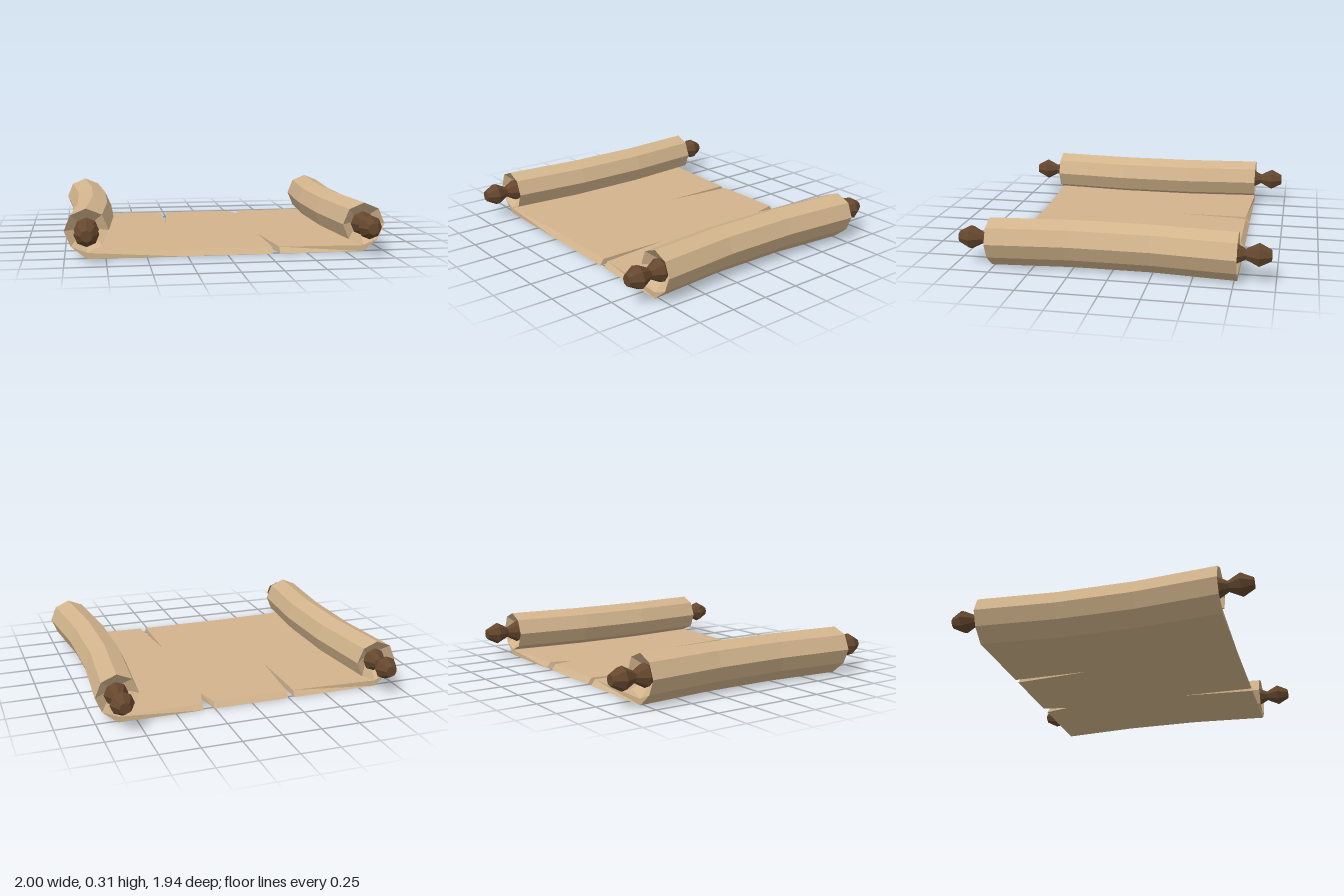
import * as THREE from 'three';

const paper = new THREE.MeshStandardMaterial({ color: 0xd2b48c, flatShading: true, side: THREE.DoubleSide });
const wood = new THREE.MeshStandardMaterial({ color: 0x65472e, flatShading: true });

const END_X = 0.865, MID_X = 0.82, HALF = 0.77, BEND = 0.25, AXIS_Y = 0.175, R = 0.135, THICK = 0.038;

// Skins a closed counter-clockwise section through rings { x, z, s } running towards +z
function loft(section, rings, caps) {
  const n = section.length, pos = [], index = [];
  for (const { x, z, s } of rings)
    for (const [px, py] of section) pos.push(x + px * s, AXIS_Y + py * s, z);
  for (let j = 0; j < rings.length - 1; j++)
    for (let i = 0; i < n; i++) {
      const a = j * n + i, b = j * n + (i + 1) % n;
      index.push(a, b, b + n, a, b + n, a + n);
    }
  if (caps) {
    const last = (rings.length - 1) * n;
    for (let i = 1; i < n - 1; i++) index.push(0, i + 1, i, last, last + i, last + i + 1);
  }
  const geo = new THREE.BufferGeometry();
  geo.setAttribute('position', new THREE.Float32BufferAttribute(pos, 3));
  geo.setIndex(index);
  geo.computeVertexNormals();
  return geo;
}

function add(parent, name, geo, mat) {
  const mesh = new THREE.Mesh(geo, mat);
  mesh.name = name;
  parent.add(mesh);
  return mesh;
}

// Flat sheet with three tears and edges that slope in towards the top
function sheetGeometry() {
  const outline = [
    [-END_X, -HALF], [-0.29, -HALF], [-0.29, -0.255], [-0.245, -HALF],
    [0.25, -HALF], [0.285, -0.6], [0.325, -HALF], [END_X, -HALF],
    [MID_X, -BEND], [MID_X, BEND], [END_X, HALF],
    [0.33, HALF], [0.285, 0.27], [0.285, HALF], [-0.29, HALF],
    [-END_X, HALF], [-MID_X, BEND], [-MID_X, -BEND],
  ];
  const shape = new THREE.Shape(outline.map(([x, z]) => new THREE.Vector2(x, z)));
  const geo = new THREE.ExtrudeGeometry(shape, { depth: THICK, bevelEnabled: false });
  geo.rotateX(Math.PI / 2).translate(0, THICK, 0);
  const p = geo.attributes.position;
  for (let i = 0; i < p.count; i++)
    if (p.getY(i) > THICK / 2 && Math.abs(p.getZ(i)) > 0.75 && Math.abs(p.getX(i)) < 0.5)
      p.setZ(i, Math.sign(p.getZ(i)) * 0.742);
  geo.computeVertexNormals();
  return geo;
}

// One curled end with its rod knobs, on the +x side
function createRoll() {
  const group = new THREE.Group();
  const rings = [
    { x: END_X, z: -HALF, s: 1 }, { x: MID_X, z: -BEND, s: 1 },
    { x: MID_X, z: BEND, s: 1 }, { x: END_X, z: HALF, s: 1 },
  ];
  // Octagonal roll with hollow, funnel-shaped ends
  const octagon = [];
  for (let i = 0; i < 8; i++) {
    const a = i * Math.PI / 4;
    octagon.push([R * Math.cos(a), R * Math.sin(a)]);
  }
  const funnel = z => ({ x: END_X, z, s: 0 });
  add(group, 'roll', loft(octagon, [funnel(-0.65), ...rings, funnel(0.65)], false), paper);

  // Wedge where the sheet curls up into the roll
  const d = R * Math.SQRT1_2;
  add(group, 'curl', loft([[0, -AXIS_Y], [d, -d], [0, -R]], rings, true), paper);

  // Turned knobs at both ends of the rod
  const profile = [[0, 0.66], [0.035, 0.68], [0.076, 0.74], [0.035, 0.815], [0.076, 0.895], [0.036, 0.97], [0, 0.97]]
    .map(([r, z]) => new THREE.Vector2(r, z));
  for (const side of [1, -1]) {
    const geo = new THREE.LatheGeometry(profile, 8);
    geo.rotateX(side * Math.PI / 2);
    add(group, side > 0 ? 'frontKnob' : 'backKnob', geo, wood).position.set(END_X, AXIS_Y, 0);
  }
  return group;
}

export function createModel() {
  const model = new THREE.Group();
  model.name = 'scroll';
  add(model, 'sheet', sheetGeometry(), paper);
  const left = createRoll();
  left.name = 'leftRoll';
  const right = createRoll();
  right.name = 'rightRoll';
  right.rotation.y = Math.PI;
  model.add(left, right);
  return model;
}
